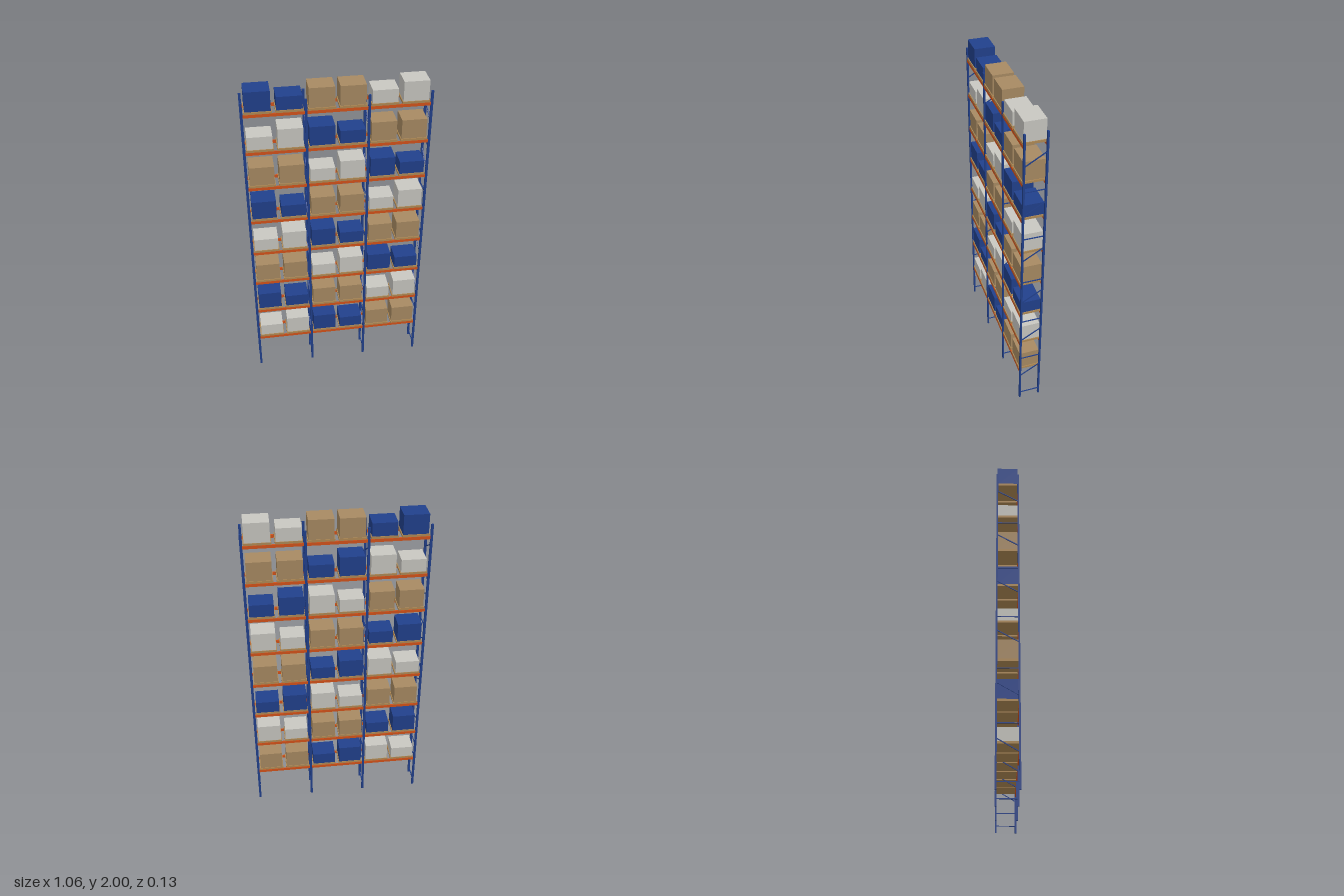
import * as THREE from 'three';

const mat = (name, color) => {
  const m = new THREE.MeshStandardMaterial({ color });
  m.name = name;
  return m;
};

export function createModel() {
  const rack = new THREE.Group();
  rack.name = 'palletRack';

  const blue = mat('blue', 0x21408c);
  const orange = mat('orange', 0xd4531a);
  const wood = mat('palletWood', 0xb08a55);
  const card = mat('cardboard', 0xa88a62);
  const pale = mat('paleGrey', 0xc8c7c1);

  const box = (name, parent, material, [w, h, d], [x, y, z]) => {
    const mesh = new THREE.Mesh(new THREE.BoxGeometry(w, h, d), material);
    mesh.name = name;
    mesh.position.set(x, y, z);
    parent.add(mesh);
    return mesh;
  };

  const bay = 0.3487;         // spacing of the frames
  const postZ = 0.062;        // front and back posts
  const postH = 1.94;
  const levels = 8;
  const pitch = 0.2323;       // spacing of the shelves
  const firstTop = 0.2445;    // top of the lowest beams

  // Upright frames: two posts with horizontal and diagonal braces
  for (let f = 0; f < 4; f++) {
    const frame = new THREE.Group();
    frame.name = 'uprightFrame';
    frame.position.x = (f - 1.5) * bay;
    for (const s of [-1, 1]) {
      box('post', frame, blue, [0.014, postH, 0.01], [0, postH / 2, s * postZ]);
    }
    const rise = 0.073;
    for (let k = 0; k < 6; k++) {
      box('horizontalBrace', frame, blue, [0.005, 0.005, 2 * postZ], [0, 0.042 + k * 0.31, 0]);
      const diagonal = box('diagonalBrace', frame, blue,
        [0.005, 0.005, Math.hypot(2 * postZ, rise)], [0, 0.234 + k * 0.31, 0]);
      diagonal.rotation.x = Math.atan2(rise, 2 * postZ); // low at the front, high at the back
    }
    rack.add(frame);
  }

  // Goods in a bay: colour and the heights of the left-hand and right-hand load
  const tall = 0.117, short = 0.079;
  const goods = [
    { name: 'paleCrate', material: pale, heights: [short, tall] },
    { name: 'blueCrate', material: blue, heights: [tall, short] },
    { name: 'carton', material: card, heights: [tall, tall] },
  ];

  for (let l = 0; l < levels; l++) {
    const shelf = new THREE.Group();
    shelf.name = 'shelfLevel';
    shelf.position.y = firstTop + l * pitch;
    for (let b = 0; b < 3; b++) {
      const cx = (b - 1) * bay;
      // Beams between the posts
      for (const s of [-1, 1]) {
        box('beam', shelf, orange, [bay - 0.014, 0.018, 0.008], [cx, -0.009, s * 0.0625]);
      }
      // Two loaded pallets per bay
      const load = goods[(l + b) % 3];
      load.heights.forEach((h, i) => {
        const x = cx + (i - 0.5) * 0.172;
        box('pallet', shelf, wood, [0.153, 0.0135, 0.13], [x, 0.00675, 0.001]);
        box(load.name, shelf, load.material, [0.143, h, 0.122], [x, 0.0125 + h / 2, 0]);
      });
    }
    rack.add(shelf);
  }
  return rack;
}
